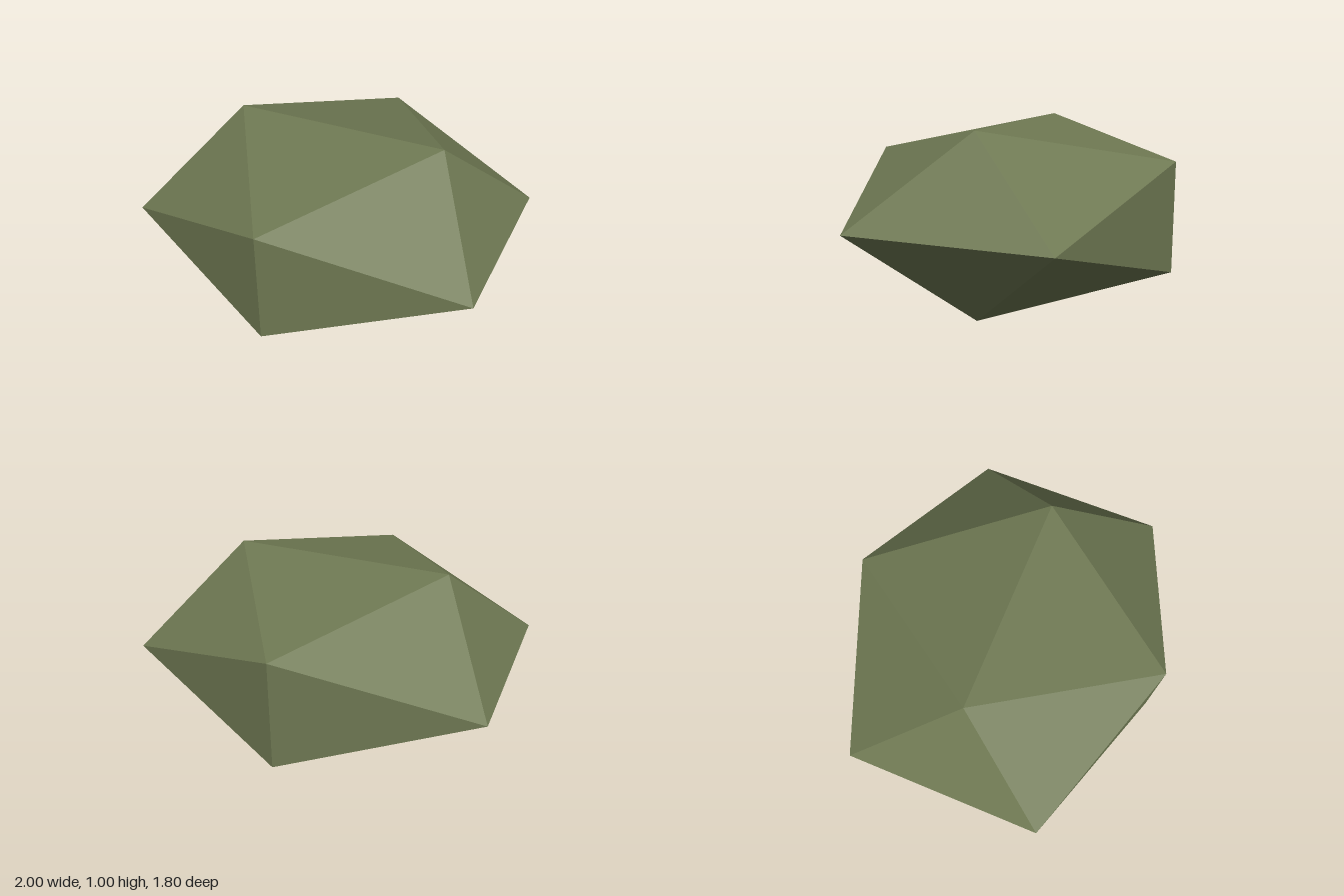
import * as THREE from 'three';

export function createModel() {
  const model = new THREE.Group();

  const mossGreen = new THREE.MeshStandardMaterial({ color: 0x6e7852 });
  mossGreen.name = 'mossGreen';

  // Faceted boulder: a twenty-sided solid, flattened and standing on its lower edge
  const phi = (1 + Math.sqrt(5)) / 2;
  const reach = phi / Math.sqrt(1 + phi * phi); // widest extent of the unit solid
  const geometry = new THREE.IcosahedronGeometry(1 / reach, 0);
  geometry.scale(1, 0.5, 0.9);
  geometry.translate(0, 0.5, 0);

  const boulder = new THREE.Mesh(geometry, mossGreen);
  boulder.name = 'boulder';
  model.add(boulder);

  return model;
}
